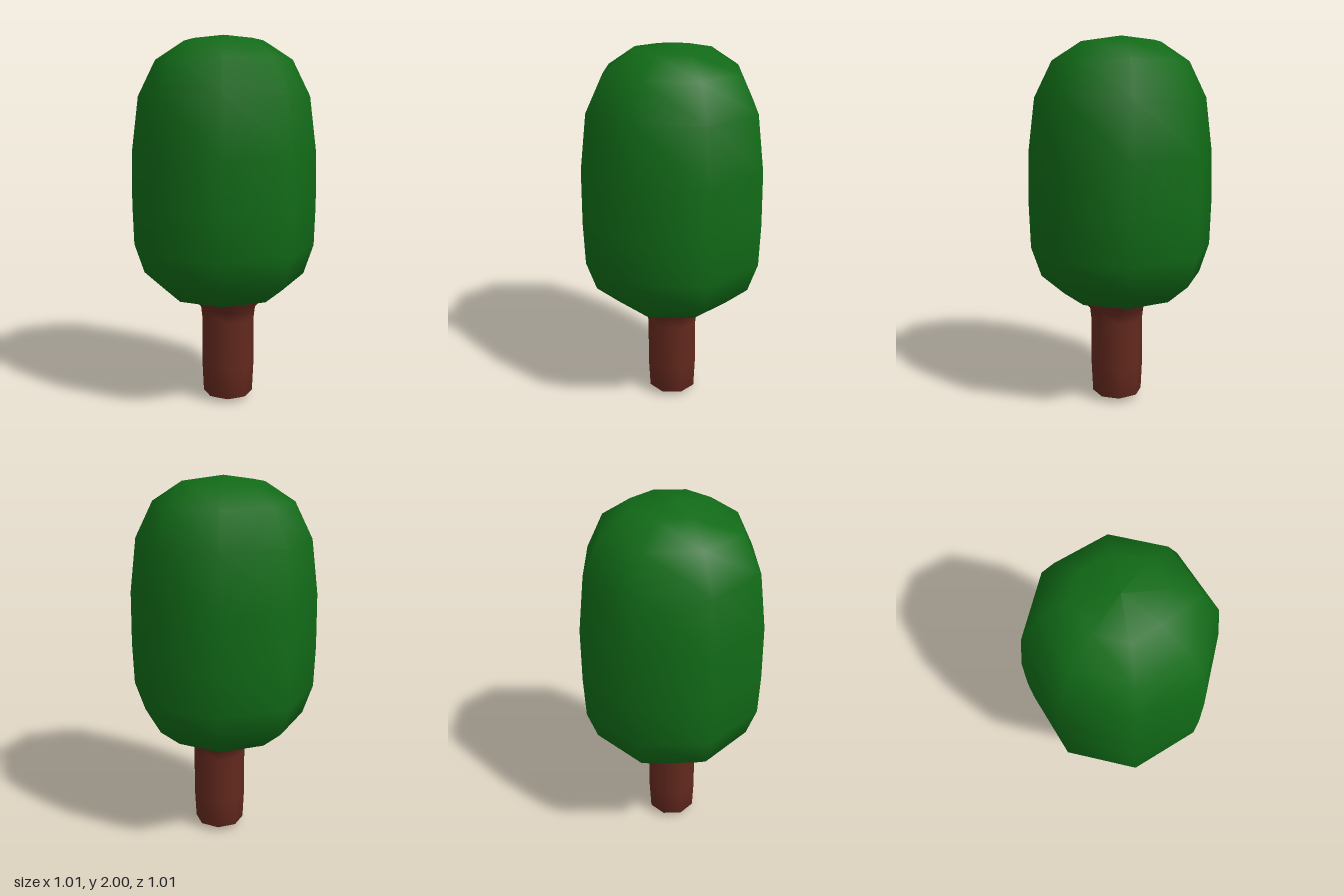
import * as THREE from 'three';

// Eight-sided smooth solid turned from [radius, height] pairs, bottom to top
function turned(name, profile, color) {
  const points = profile.map(([r, y]) => new THREE.Vector2(r, y));
  const mesh = new THREE.Mesh(
    new THREE.LatheGeometry(points, 8),
    new THREE.MeshStandardMaterial({ color })
  );
  mesh.name = name;
  return mesh;
}

export function createModel() {
  const tree = new THREE.Group();
  tree.name = 'tree';

  // Rounded, tall crown
  const crown = turned('crown', [
    [0, 0.55], [0.19, 0.565], [0.32, 0.605], [0.443, 0.71], [0.497, 0.87],
    [0.504, 1.1], [0.499, 1.39], [0.462, 1.68], [0.367, 1.87], [0.212, 1.97], [0, 2],
  ], 0x116a17);

  // Trunk with a bevelled foot, flaring into the crown
  const trunk = turned('trunk', [
    [0, 0], [0.095, 0.01], [0.137, 0.03], [0.145, 0.2],
    [0.144, 0.46], [0.151, 0.52], [0.2, 0.57], [0.2, 0.6], [0, 0.62],
  ], 0x64291e);
  trunk.position.set(0.008, 0, 0.026);

  tree.add(crown, trunk);
  return tree;
}
